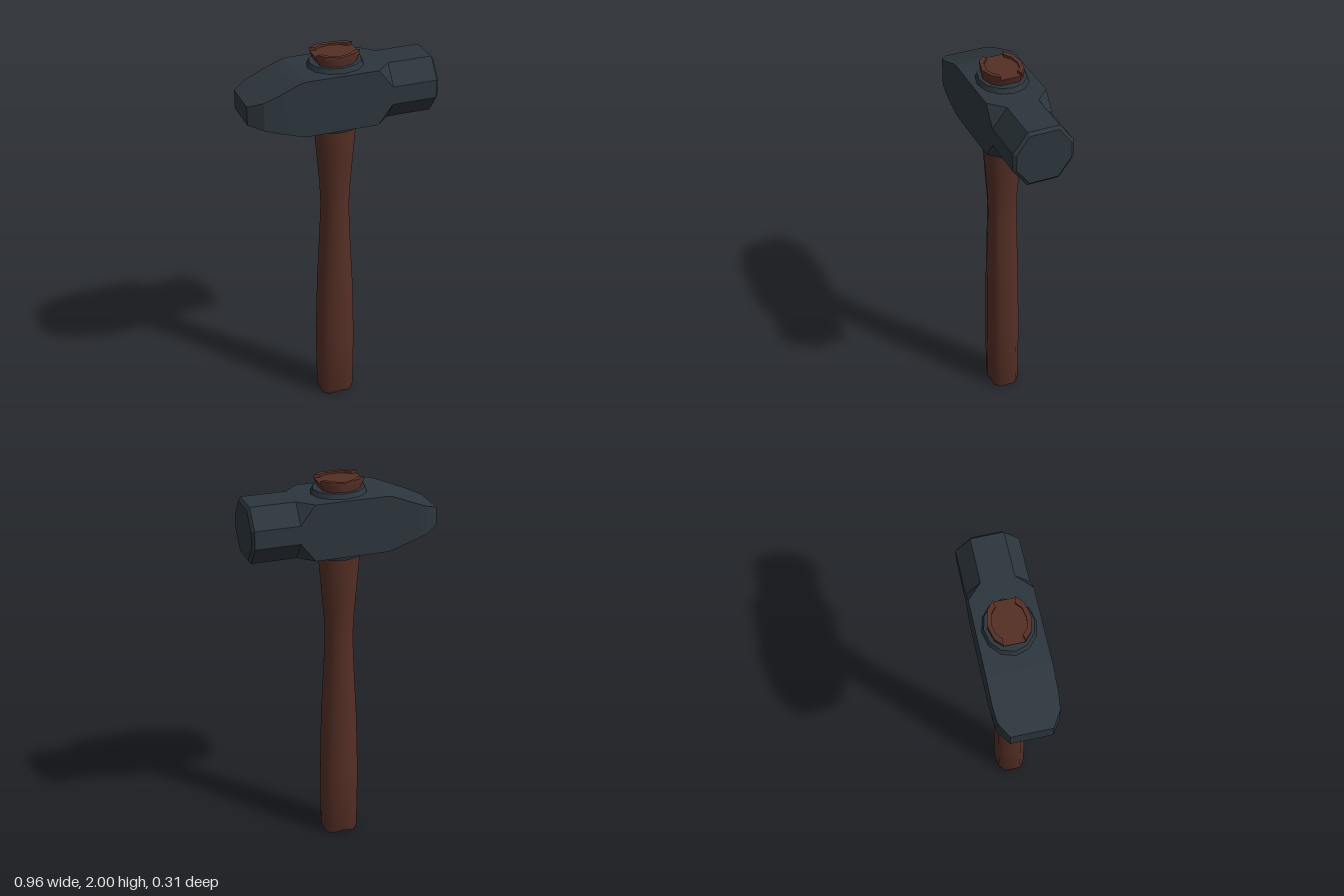
import * as THREE from 'three';
import { toCreasedNormals } from 'three/addons/utils/BufferGeometryUtils.js';

const steel = new THREE.MeshStandardMaterial({ color: 0x2d363d });
const wood = new THREE.MeshStandardMaterial({ color: 0x552f25 });

// Skin a list of equal-length rings (counter-clockwise seen from the far end) and cap both ends
function loft(rings, crease) {
  const pos = [];
  const tri = (a, b, c) => {
    const area = new THREE.Triangle(a, b, c).getArea();
    if (area > 1e-9) for (const p of [a, b, c]) pos.push(p.x, p.y, p.z);
  };
  const n = rings[0].length;
  const middle = (ring) =>
    ring.reduce((sum, p) => sum.add(p), new THREE.Vector3()).divideScalar(n);
  const first = rings[0], last = rings[rings.length - 1];
  const c0 = middle(first), c1 = middle(last);
  for (let j = 0; j < n; j++) {
    const k = (j + 1) % n;
    for (let i = 0; i < rings.length - 1; i++) {
      const a = rings[i], b = rings[i + 1];
      tri(a[j], a[k], b[k]);
      tri(a[j], b[k], b[j]);
    }
    tri(c0, first[k], first[j]);
    tri(c1, last[j], last[k]);
  }
  const geo = new THREE.BufferGeometry();
  geo.setAttribute('position', new THREE.Float32BufferAttribute(pos, 3));
  return toCreasedNormals(geo, crease);
}

function addMesh(parent, name, geo, material) {
  const mesh = new THREE.Mesh(geo, material);
  mesh.name = name;
  parent.add(mesh);
  return mesh;
}

// Chamfered rectangle across the head: centre height, half height, half depth, chamfers
function headRing([x, c, v, h, cy, cz]) {
  const half = [[v, h - cz], [v - cy, h], [cy - v, h], [-v, h - cz]];
  const back = half.map(([y, z]) => [y, -z]).reverse();
  return [...half, ...back].map(([y, z]) => new THREE.Vector3(x, c + y, z));
}

// Ten-sided handle outline with flat sides, from +z towards +x
const OUTLINE = [[0, 1], [0.65, 0.83], [1, 0.5], [1, -0.5], [0.65, -0.83],
  [0, -1], [-0.65, -0.83], [-1, -0.5], [-1, 0.5], [-0.65, 0.83]];

function handleRing([y, rx, rz, arch = 0]) {
  return OUTLINE.map(([x, z]) =>
    new THREE.Vector3(x * rx - 0.004, y + (x === 0 ? arch : 0), z * rz));
}

export function createModel() {
  const hammer = new THREE.Group();
  hammer.name = 'hammer';

  // Head: wedge peen on the left of the front view, octagonal striking face on the right
  const head = new THREE.Group();
  head.name = 'head';
  hammer.add(head);
  const sections = [
    [-0.48, 1.768, 0.047, 0.1, 0, 0],
    [-0.41, 1.77, 0.072, 0.145, 0, 0],
    [-0.34, 1.773, 0.097, 0.152, 0, 0],
    [-0.23, 1.778, 0.137, 0.153, 0, 0],
    [-0.2, 1.778, 0.143, 0.153, 0, 0],
    [0.165, 1.778, 0.143, 0.153, 0, 0],
    [0.24, 1.778, 0.143, 0.153, 0.097, 0.073],
    [0.467, 1.778, 0.143, 0.153, 0.097, 0.073],
    [0.48, 1.778, 0.128, 0.138, 0.088, 0.066],
  ];
  addMesh(head, 'headBlock', loft(sections.map(headRing), 0.2), steel);

  // Collars around the eye, above and below the head
  const collar = (name, rTop, rBottom, y0, y1) => {
    const geo = new THREE.CylinderGeometry(rTop, rBottom, y1 - y0, 12);
    geo.scale(1, 1, 0.89);
    geo.translate(-0.002, (y0 + y1) / 2, 0);
    addMesh(head, name, toCreasedNormals(geo, 0.6), steel);
  };
  collar('upperCollar', 0.131, 0.147, 1.91, 1.945);
  collar('lowerCollar', 0.138, 0.122, 1.6, 1.65);

  // Handle: hollowed butt, swelling grip, narrow neck, flared top
  const stations = [
    [0.045, 0.045, 0.045],
    [0.005, 0.073, 0.07, 0.015],
    [0, 0.083, 0.08, 0.018],
    [0.025, 0.088, 0.085],
    [0.35, 0.092, 0.087],
    [0.7, 0.083, 0.084],
    [1, 0.068, 0.079],
    [1.15, 0.063, 0.076],
    [1.25, 0.067, 0.077],
    [1.4, 0.078, 0.088],
    [1.6, 0.094, 0.097],
    [1.94, 0.092, 0.098],
    [1.975, 0.108, 0.102],
    [1.984, 0.11, 0.102],
  ];
  addMesh(hammer, 'handle', loft(stations.map(handleRing), 0.86), wood);

  // Raised crescent lips either side of the slot in the handle top
  for (const side of [1, -1]) {
    const edge = [[-0.11, 0.051], [-0.0715, 0.085], [0, 0.102], [0.0715, 0.085], [0.11, 0.051],
      [0.08, 0.045], [0.05, 0.07], [0, 0.08], [-0.05, 0.07], [-0.08, 0.045]];
    const shape = new THREE.Shape(edge.map(([x, z]) => new THREE.Vector2(x - 0.004, z * side)));
    const geo = new THREE.ExtrudeGeometry(shape, { depth: 0.018, bevelEnabled: false });
    geo.rotateX(-Math.PI / 2);
    geo.translate(0, 1.982, 0);
    // Dip the lip towards its middle
    const p = geo.attributes.position;
    for (let i = 0; i < p.count; i++) {
      if (p.getY(i) > 1.99) p.setY(i, 1.992 + 0.008 * Math.min(1, Math.abs(p.getX(i)) / 0.1));
    }
    geo.computeVertexNormals();
    addMesh(hammer, side > 0 ? 'backLip' : 'frontLip', geo, wood);
  }
  return hammer;
}
